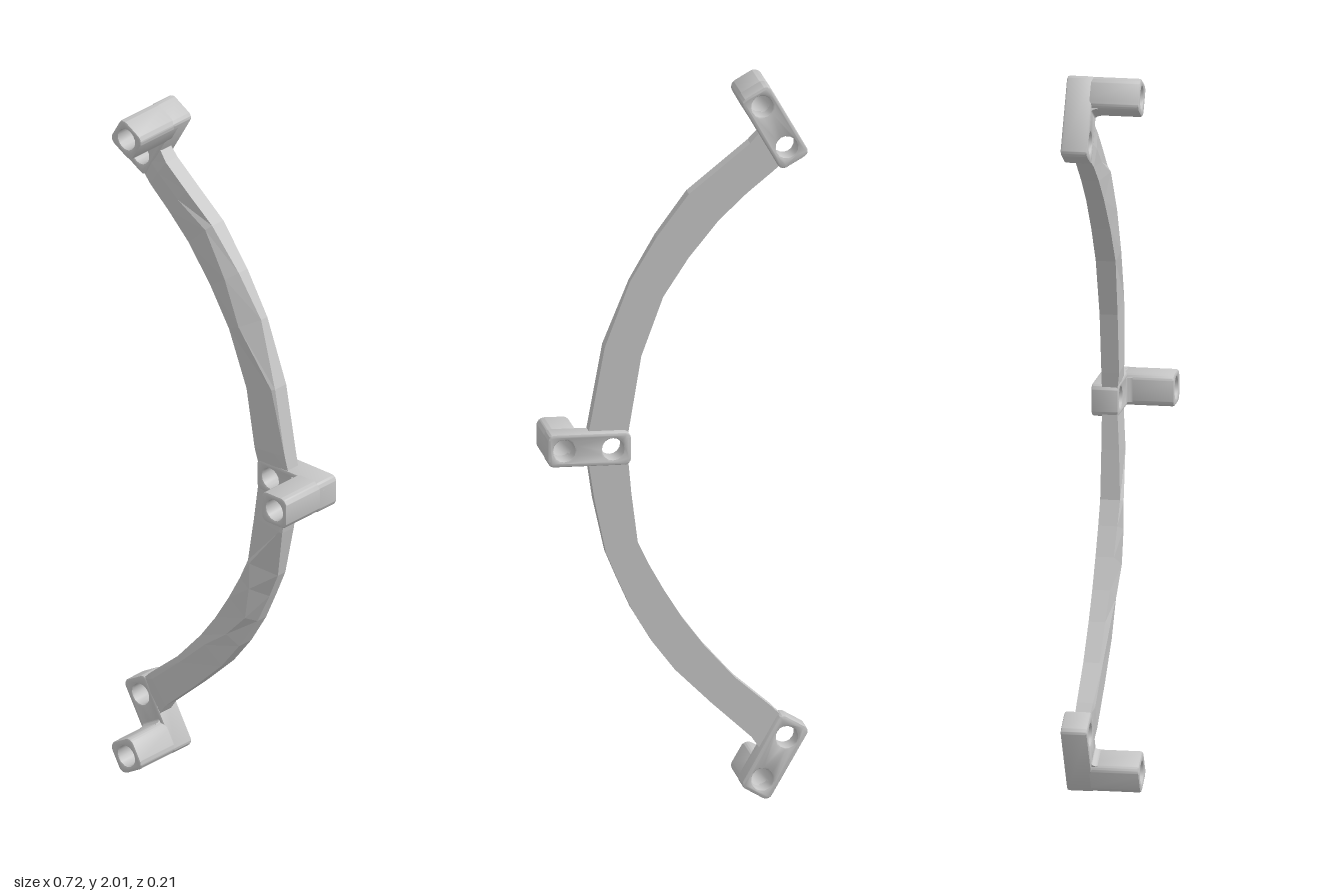
import * as THREE from 'three';
import { toCreasedNormals } from 'three/addons/utils/BufferGeometryUtils.js';

const CENTRE_X = -0.78; // centre of the arc the bracket follows
const HOLES = [0.96, 1.095]; // hole distances from that centre

// Rounded rectangle spanning x0..x1 and -h..h, with round holes
function roundedShape(x0, x1, h, r, holes) {
  const s = new THREE.Shape();
  s.absarc(x1 - r, h - r, r, 0, Math.PI / 2);
  s.absarc(x0 + r, h - r, r, Math.PI / 2, Math.PI);
  s.absarc(x0 + r, -h + r, r, Math.PI, Math.PI * 1.5);
  s.absarc(x1 - r, -h + r, r, Math.PI * 1.5, Math.PI * 2);
  s.closePath();
  for (const x of holes) {
    const p = new THREE.Path();
    p.absarc(x, 0, 0.03, 0, Math.PI * 2, true);
    s.holes.push(p);
  }
  return s;
}

// Extrusion between two z positions with a small edge bevel
function slab(shape, z0, z1) {
  const b = 0.006;
  const g = new THREE.ExtrudeGeometry(shape, {
    depth: z1 - z0 - 2 * b, bevelEnabled: true, bevelSize: b, bevelOffset: -b,
    bevelThickness: b, bevelSegments: 2, curveSegments: 8,
  });
  g.translate(0, 0, z0 + b);
  return toCreasedNormals(g, 0.7);
}

// Faceted arm; each section is
// [degrees, inner r, outer r, ridge r, z inner, z ridge, z outer]
function armGeometry(sections, side) {
  const rings = sections.map(([deg, ri, ro, rr, zi, zr, zo]) => {
    const a = side * THREE.MathUtils.degToRad(deg);
    return [[ri, -0.075], [ro, -0.075], [ro, zo], [rr, zr], [ri, zi]]
      .map(([r, z]) => [CENTRE_X + r * Math.cos(a), 1 + r * Math.sin(a), z]);
  });
  const pos = [];
  for (let i = 0; i < rings.length - 1; i++) {
    for (let k = 0; k < 5; k++) {
      const n = (k + 1) % 5;
      const a = rings[i][k], b = rings[i][n], c = rings[i + 1][n], d = rings[i + 1][k];
      const tris = side > 0 ? [a, c, b, a, d, c] : [a, b, c, a, c, d];
      for (const p of tris) pos.push(...p);
    }
  }
  const g = new THREE.BufferGeometry();
  g.setAttribute('position', new THREE.Float32BufferAttribute(pos, 3));
  g.computeVertexNormals();
  return g;
}

export function createModel() {
  const model = new THREE.Group();
  model.name = 'curvedBracket';
  const grey = new THREE.MeshStandardMaterial({ color: 0xc4c4c4 });
  grey.name = 'lightGrey';
  const add = (parent, name, geometry) => {
    const m = new THREE.Mesh(geometry, grey);
    m.name = name;
    parent.add(m);
  };

  // Shared mount parts, laid out radially from the arc centre
  const plate = slab(roundedShape(0.91, 1.14, 0.046, 0.018, HOLES), -0.104, -0.03);
  const peg = slab(roundedShape(1.047, 1.14, 0.046, 0.022, [HOLES[1]]), -0.06, 0.101);

  // Concave fillet where the peg rises from the plate
  const profile = new THREE.Shape();
  profile.moveTo(1.033, -0.031);
  profile.quadraticCurveTo(1.047, -0.031, 1.047, -0.014);
  profile.lineTo(1.052, -0.014);
  profile.lineTo(1.052, -0.035);
  profile.lineTo(1.033, -0.035);
  profile.closePath();
  let fillet = new THREE.ExtrudeGeometry(profile, { depth: 0.068, bevelEnabled: false, curveSegments: 5 });
  fillet.rotateX(Math.PI / 2);
  fillet.translate(0, 0.034, 0);
  fillet = toCreasedNormals(fillet, 0.6);

  // Three mounts, sixty degrees apart
  [['upperMount', 60], ['middleMount', 0], ['lowerMount', -60]].forEach(([name, deg]) => {
    const mount = new THREE.Group();
    mount.name = name;
    mount.position.set(CENTRE_X, 1, 0);
    mount.rotation.z = THREE.MathUtils.degToRad(deg);
    add(mount, 'mountPlate', plate);
    add(mount, 'mountPeg', peg);
    add(mount, 'pegFillet', fillet);
    model.add(mount);
  });

  // Arms joining the mounts
  add(model, 'upperArm', armGeometry([
    [2.1, 0.915, 1.025, 0.98, -0.032, -0.032, -0.034],
    [5, 0.91, 1.018, 0.98, -0.026, -0.026, -0.03],
    [16, 0.913, 1.018, 1.01, -0.025, -0.023, -0.03],
    [27, 0.917, 1.02, 0.965, -0.02, -0.012, -0.05],
    [35, 0.912, 1.02, 0.985, -0.022, -0.014, -0.04],
    [43.3, 0.912, 1.025, 1.005, -0.025, -0.018, -0.03],
    [50, 0.912, 1.015, 0.97, -0.026, -0.024, -0.028],
    [55.5, 0.915, 1.018, 0.97, -0.028, -0.025, -0.028],
    [58, 0.92, 1.03, 0.97, -0.034, -0.032, -0.034],
  ], 1));
  add(model, 'lowerArm', armGeometry([
    [2.1, 0.915, 1.025, 0.98, -0.032, -0.032, -0.034],
    [8.5, 0.915, 1.018, 1.008, -0.026, -0.024, -0.028],
    [17, 0.928, 1.02, 0.94, -0.02, -0.012, -0.045],
    [21.5, 0.92, 1.015, 0.965, -0.022, -0.012, -0.045],
    [27, 0.912, 1.015, 0.99, -0.024, -0.014, -0.04],
    [33, 0.908, 1.013, 0.965, -0.026, -0.017, -0.026],
    [39, 0.906, 1.01, 0.935, -0.029, -0.02, -0.025],
    [47, 0.908, 1.003, 0.925, -0.03, -0.024, -0.026],
    [55.5, 0.912, 1.012, 0.93, -0.03, -0.026, -0.028],
    [58, 0.92, 1.03, 0.97, -0.034, -0.032, -0.034],
  ], -1));

  return model;
}
